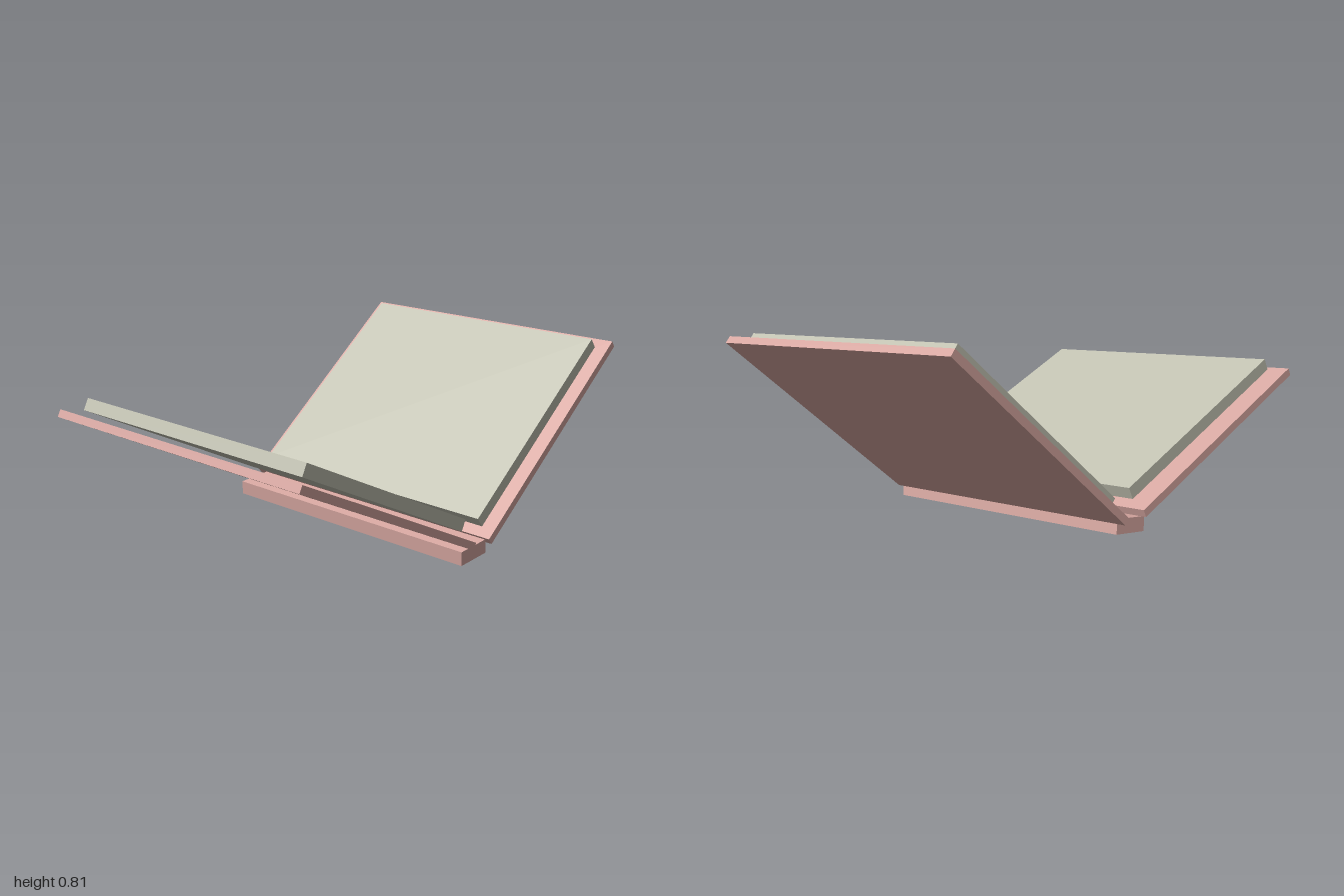
import * as THREE from 'three';

// shared direction of the hinge line, along which every board runs
const ALONG = new THREE.Vector3(0.866, -0.094, 0.491).normalize();

const coverMaterial = new THREE.MeshStandardMaterial({ color: 0xd8a8a2, flatShading: true });
const pageMaterial = new THREE.MeshStandardMaterial({ color: 0xc2c2b2, flatShading: true });

// A leaf is a tilted frame: x along the hinge, y off the inner face, z * side away from the hinge.
function leaf(name, origin, out, side) {
  const group = new THREE.Group();
  group.name = name;
  const z = new THREE.Vector3(...out).multiplyScalar(side);
  z.addScaledVector(ALONG, -z.dot(ALONG)).normalize();
  const y = new THREE.Vector3().crossVectors(z, ALONG);
  group.quaternion.setFromRotationMatrix(new THREE.Matrix4().makeBasis(ALONG, y, z));
  group.position.set(...origin);
  // box given by its ranges along the hinge, off the face and away from the hinge
  const addBox = (part, material, [x0, x1], [y0, y1], [z0, z1]) => {
    const mesh = new THREE.Mesh(new THREE.BoxGeometry(x1 - x0, y1 - y0, z1 - z0), material);
    mesh.position.set((x0 + x1) / 2, (y0 + y1) / 2, side * (z0 + z1) / 2);
    mesh.name = part;
    group.add(mesh);
  };
  return { group, addBox };
}

export function createModel() {
  const book = new THREE.Group();
  book.name = 'openBook';

  // front cover with its page block held slightly off the board
  const front = leaf('frontHalf', [-0.51, 0.165, -0.33], [-0.43, 0.36, 0.828], 1);
  front.addBox('frontCover', coverMaterial, [0, 1.12], [0, 0.027], [0, 0.93]);
  front.addBox('frontPages', pageMaterial, [0.055, 1.067], [0.048, 0.091], [0.022, 0.88]);

  // back cover with its page block lying on the board
  const back = leaf('backHalf', [-0.46, 0.165, -0.43], [0.42, 0.678, -0.603], -1);
  back.addBox('backCover', coverMaterial, [0, 1.12], [0, 0.027], [0, 0.93]);
  back.addBox('backPages', pageMaterial, [0.053, 1.067], [0.027, 0.07], [0.04, 0.89]);

  // spine bar under the hinge
  const spine = leaf('spineGroup', [-0.497, 0.105, -0.296], [0.515, 0.147, -0.846], -1);
  spine.addBox('spine', coverMaterial, [0, 1.06], [0, 0.05], [0, 0.136]);

  book.add(front.group, back.group, spine.group);
  return book;
}
